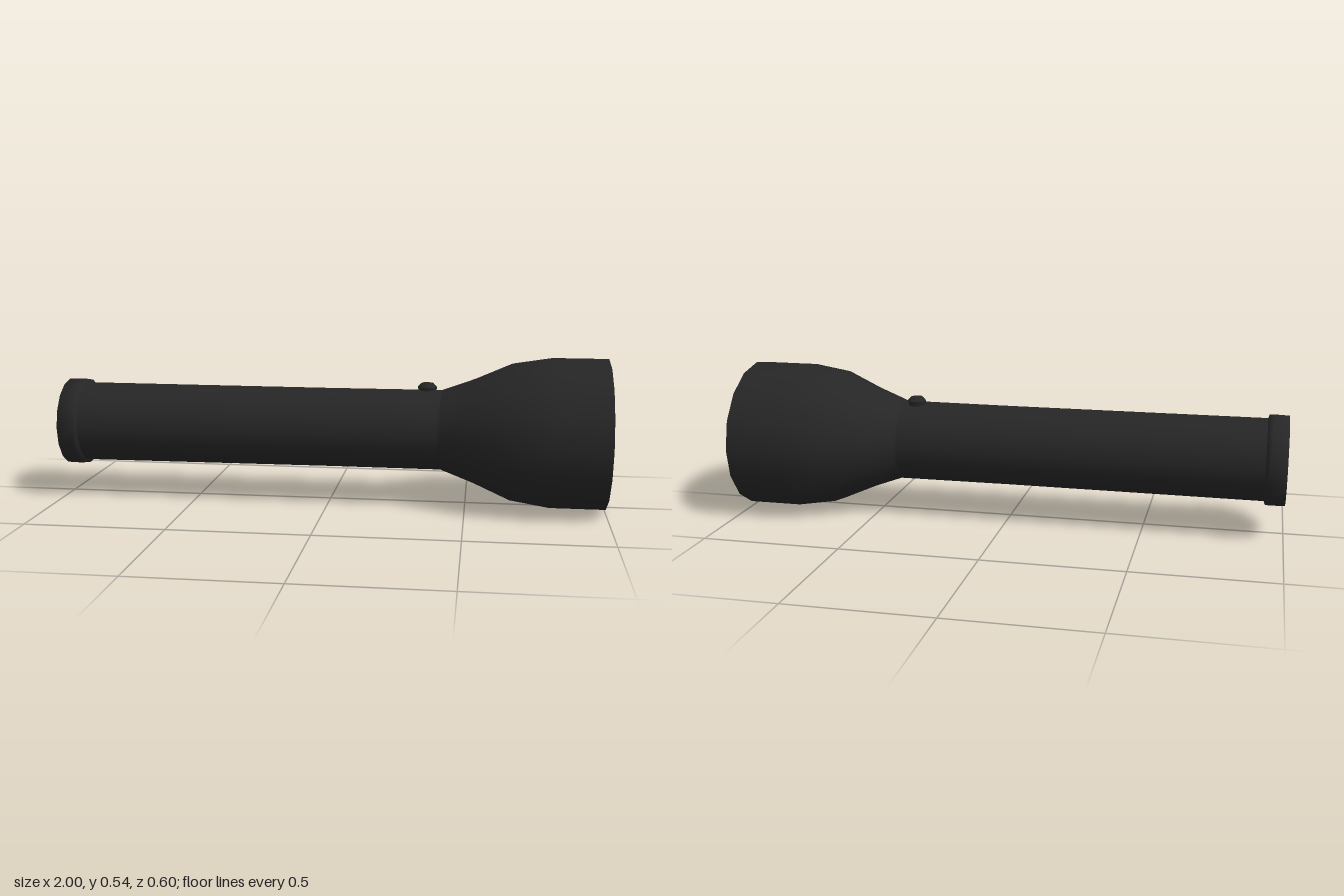
import * as THREE from 'three';

const AXIS_Y = 0.273;

// Revolves [x, radius] points about the x axis; points run tail to front.
function turned(name, points, material, heightAt = () => 1) {
  const geo = new THREE.LatheGeometry(points.map(([x, r]) => new THREE.Vector2(r, x)), 16);
  geo.rotateZ(-Math.PI / 2);
  // flatten the round section vertically
  const pos = geo.attributes.position;
  for (let i = 0; i < pos.count; i++) pos.setY(i, pos.getY(i) * heightAt(pos.getX(i)));
  const mesh = new THREE.Mesh(geo, material);
  mesh.name = name;
  mesh.position.y = AXIS_Y;
  return mesh;
}

export function createModel() {
  const black = new THREE.MeshStandardMaterial({ color: 0x262626 });
  black.name = 'black casing';
  const glass = new THREE.MeshStandardMaterial({ color: 0xd2d6c4 });
  glass.name = 'pale lens';

  const model = new THREE.Group();
  model.name = 'flashlight';
  const oval = (x) => (x < 0.5 ? 0.97 : 0.9);

  // handle and end cap
  model.add(turned('handle', [[-0.95, 0.15], [0, 0.148], [0.42, 0.149]], black, () => 0.99));
  model.add(turned('tailCap', [
    [-1, 0], [-1, 0.13], [-1, 0.161], [-0.945, 0.163], [-0.93, 0.161], [-0.925, 0.145],
  ], black));

  // flared head, front rim and lens
  model.add(turned('head', [
    [0.4, 0.15], [0.41, 0.152], [0.53, 0.213], [0.66, 0.277], [0.8, 0.302], [0.998, 0.302],
  ], black, oval));
  model.add(turned('rim', [[0.998, 0.302], [0.998, 0.268]], black, oval));
  model.add(turned('lens', [
    [0.997, 0.27], [0.965, 0.245], [0.96, 0.225], [0.975, 0.195], [0.988, 0.13], [0.994, 0.06], [0.996, 0],
  ], glass, oval));

  // push button on top of the handle
  const button = new THREE.Mesh(new THREE.CylinderGeometry(0.022, 0.035, 0.014, 8), black);
  button.name = 'buttonTop';
  button.position.set(0.355, 0.436, -0.015);
  const base = new THREE.Mesh(new THREE.CylinderGeometry(0.035, 0.03, 0.03, 8), black);
  base.name = 'buttonBase';
  base.position.set(0.355, 0.414, -0.015);
  model.add(button, base);

  return model;
}
